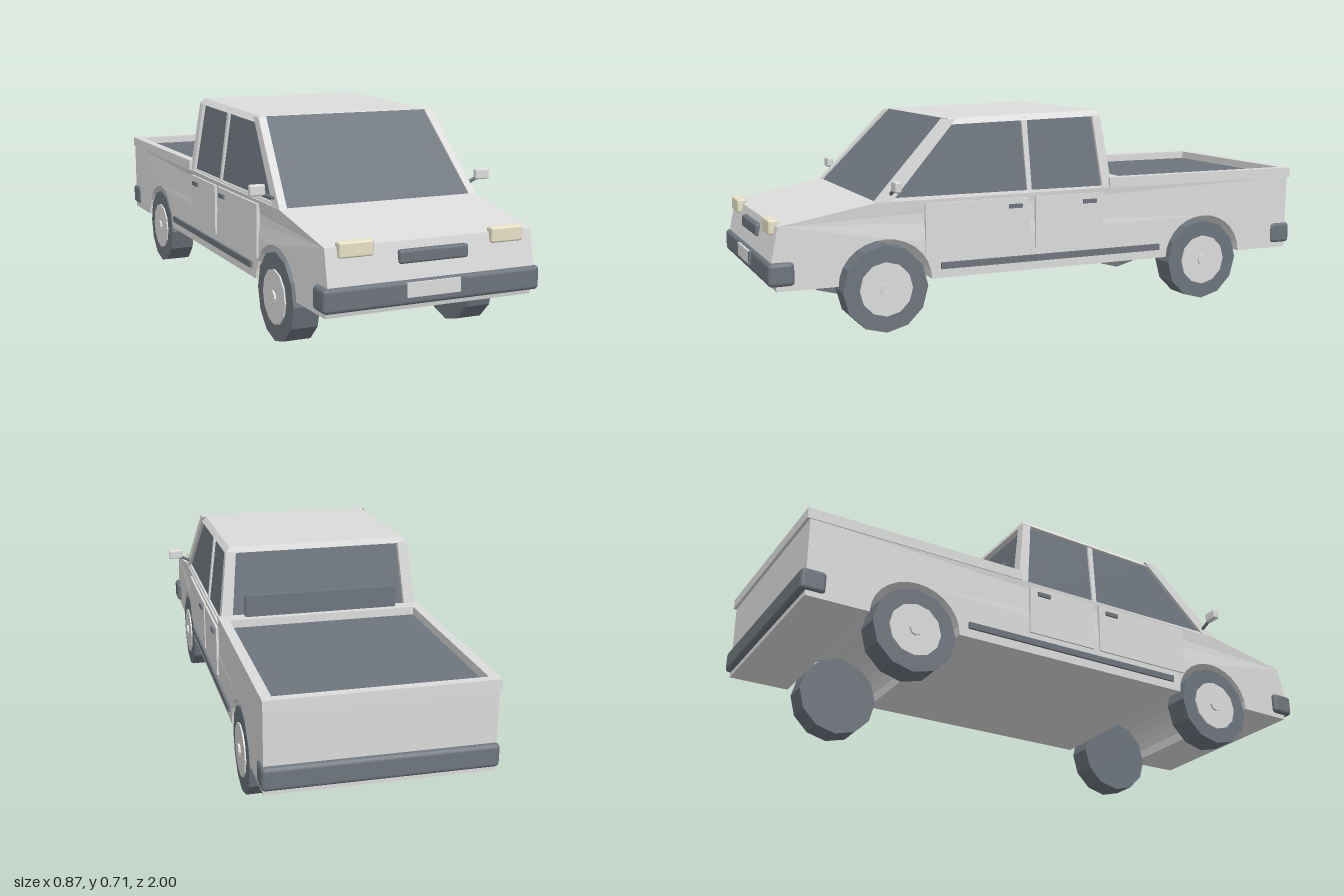
import * as THREE from 'three';
import { RoundedBoxGeometry } from 'three/addons/geometries/RoundedBoxGeometry.js';

const material = (name, color) => {
  const m = new THREE.MeshStandardMaterial({ color });
  m.name = name;
  return m;
};

// Block between two horizontal rectangles [x0, x1, z0, z1] at heights y0 and y1
function frustum(y0, lower, y1, upper) {
  const g = new THREE.BoxGeometry(1, 1, 1);
  const p = g.attributes.position;
  for (let i = 0; i < p.count; i++) {
    const r = p.getY(i) > 0 ? upper : lower;
    p.setXYZ(i, p.getX(i) > 0 ? r[1] : r[0], p.getY(i) > 0 ? y1 : y0, p.getZ(i) > 0 ? r[3] : r[2]);
  }
  g.computeVertexNormals();
  return g;
}

const box = (w, h, d, x, y, z) => new THREE.BoxGeometry(w, h, d).translate(x, y, z);
const rounded = (w, h, d, r, x, y, z) => new RoundedBoxGeometry(w, h, d, 2, r).translate(x, y, z);

export function createModel() {
  const paint = material('light grey paint', 0xdcdcdc);
  const dark = material('dark grey', 0x6e757d);
  const cream = material('cream lamp', 0xe8e2c6);
  const model = new THREE.Group();
  model.name = 'pickupTruck';
  const add = (name, geometry, mat, parent = model) => {
    const mesh = new THREE.Mesh(geometry, mat);
    mesh.name = name;
    parent.add(mesh);
    return mesh;
  };

  // Lower body: side profile with wheel arches, narrowed towards the nose
  const axles = [-0.61, 0.61];
  const side = new THREE.Shape();
  side.moveTo(-0.98, 0.167);
  for (const z of axles) {
    side.lineTo(z - 0.158, 0.167);
    side.absellipse(z, 0.167, 0.158, 0.143, Math.PI, 0, true);
  }
  [[0.965, 0.167], [0.982, 0.25], [0.957, 0.373], [0.64, 0.43], [-0.2, 0.436], [-0.985, 0.436]]
    .forEach(([z, y]) => side.lineTo(z, y));
  const bodyGeo = new THREE.ExtrudeGeometry(side, { depth: 0.72, bevelEnabled: false, curveSegments: 7 });
  bodyGeo.translate(0, 0, -0.36).rotateY(-Math.PI / 2);
  const bp = bodyGeo.attributes.position;
  for (let i = 0; i < bp.count; i++) {
    const t = THREE.MathUtils.clamp((bp.getZ(i) - 0.5) / 0.47, 0, 1);
    bp.setX(i, bp.getX(i) * (1 - 0.025 * t));
  }
  bodyGeo.computeVertexNormals();
  add('body', bodyGeo, paint);

  // Cargo bed: raised rim around a dark floor
  const rim = new THREE.Shape([[-0.363, 0.215], [0.363, 0.215], [0.363, 0.995], [-0.363, 0.995]]
    .map(([x, y]) => new THREE.Vector2(x, y)));
  rim.holes.push(new THREE.Path([[-0.33, 0.268], [-0.33, 0.965], [0.33, 0.965], [0.33, 0.268]]
    .map(([x, y]) => new THREE.Vector2(x, y))));
  add('bedRim', new THREE.ExtrudeGeometry(rim, { depth: 0.036, bevelEnabled: false })
    .rotateX(-Math.PI / 2).translate(0, 0.434, 0), paint);
  add('bedFloor', box(0.67, 0.008, 0.71, 0, 0.438, -0.616), dark);
  add('cabBackBar', box(0.54, 0.105, 0.02, 0, 0.492, -0.236), dark);

  // Cabin: glass core, roof and pillars
  add('cabinGlass', frustum(0.425, [-0.346, 0.346, -0.21, 0.637], 0.69, [-0.312, 0.312, -0.168, 0.38]), dark);
  const roof = frustum(0.68, [-0.327, 0.327, -0.19, 0.398], 0.7, [-0.312, 0.312, -0.183, 0.372]);
  const rp = roof.attributes.position;
  for (let i = 0; i < rp.count; i++) rp.setY(i, rp.getY(i) + 0.025 * (0.05 - rp.getZ(i)));
  roof.computeVertexNormals();
  add('roof', roof, paint);

  for (const s of [1, -1]) {
    const span = (a, b, z0, z1) => (s > 0 ? [a, b, z0, z1] : [-b, -a, z0, z1]);
    const label = s > 0 ? 'left' : 'right';
    add(label + 'FrontPillar', frustum(0.425, span(0.33, 0.356, 0.59, 0.646),
      0.69, span(0.297, 0.325, 0.35, 0.394)), paint);
    add(label + 'MiddlePillar', frustum(0.425, span(0.33, 0.352, 0.083, 0.1),
      0.69, span(0.297, 0.32, 0.09, 0.11)), paint);
    add(label + 'RearPillar', frustum(0.425, span(0.315, 0.356, -0.228, -0.19),
      0.69, span(0.29, 0.325, -0.19, -0.16)), paint);
    add(label + 'WindowSill', frustum(0.425, span(0.33, 0.355, -0.2, 0.62),
      0.441, span(0.33, 0.351, -0.2, 0.605)), paint);

    // Doors, handles and side moulding
    add(label + 'FrontDoor', box(0.012, 0.177, 0.375, s * 0.36, 0.331, 0.287), paint);
    add(label + 'RearDoor', box(0.012, 0.177, 0.262, s * 0.36, 0.331, -0.056), paint);
    for (const z of [0.152, -0.132])
      add(label + 'DoorHandle', box(0.012, 0.014, 0.05, s * 0.367, 0.393, z), dark);
    add(label + 'SideMoulding', box(0.014, 0.022, 0.84, s * 0.361, 0.208, 0), dark);

    // Mirror on a slanted arm
    const arm = new THREE.LineCurve3(new THREE.Vector3(s * 0.34, 0.452, 0.588), new THREE.Vector3(s * 0.395, 0.476, 0.588));
    add(label + 'MirrorArm', new THREE.TubeGeometry(arm, 1, 0.006, 6), dark);
    add(label + 'Mirror', rounded(0.052, 0.036, 0.022, 0.006, s * 0.409, 0.486, 0.588), paint);

    add(label + 'Headlight', rounded(0.112, 0.048, 0.034, 0.007, s * 0.256, 0.365, 0.96), cream);

    // Wheels: twelve-sided tyre, disc and hub cap
    for (const z of axles) {
      const wheel = new THREE.Group();
      wheel.name = label + (z > 0 ? 'FrontWheel' : 'RearWheel');
      wheel.position.set(0, 0.145, z);
      model.add(wheel);
      const disc = (name, r, x0, x1, sides, mat) => add(name,
        new THREE.CylinderGeometry(r, r, x1 - x0, sides).toNonIndexed()
          .rotateZ(Math.PI / 2).translate(s * (x0 + x1) / 2, 0, 0), mat, wheel).geometry.computeVertexNormals();
      disc('tyre', 0.145, 0.268, 0.358, 12, dark);
      disc('wheelDisc', 0.09, 0.35, 0.363, 12, paint);
      disc('hubCap', 0.022, 0.36, 0.37, 8, paint);
    }
  }

  // Bumpers, grille and number plate
  add('frontBumper', rounded(0.736, 0.076, 0.084, 0.014, 0, 0.222, 0.951), dark);
  add('rearBumper', rounded(0.736, 0.076, 0.084, 0.014, 0, 0.222, -0.957), dark);
  add('grille', rounded(0.234, 0.042, 0.03, 0.008, 0, 0.328, 0.965), dark);
  add('numberPlate', box(0.18, 0.044, 0.008, -0.01, 0.232, 0.995), paint);
  add('plateEnd', box(0.016, 0.044, 0.008, 0.088, 0.232, 0.995), dark);

  return model;
}
